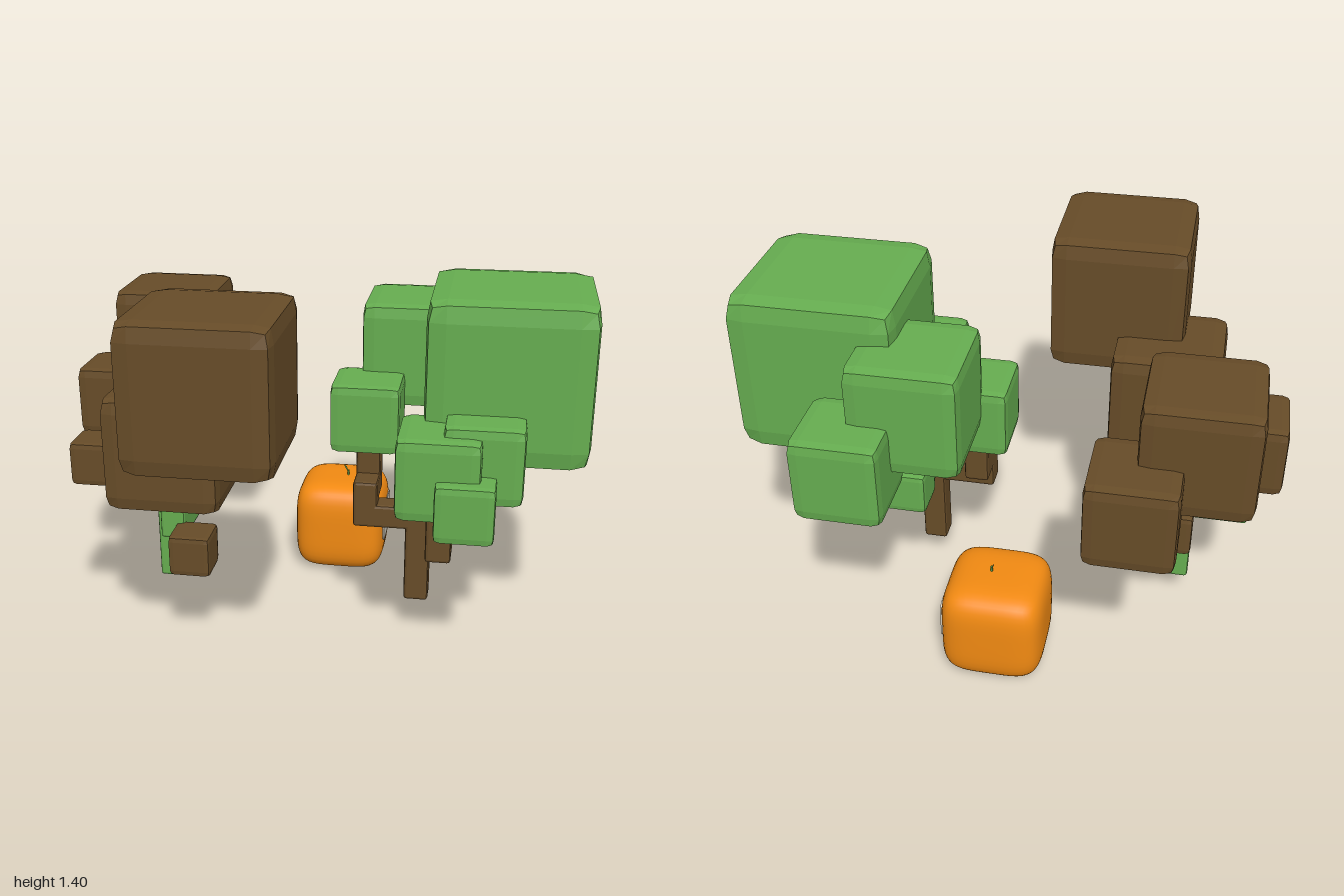
import * as THREE from 'three';
import { RoundedBoxGeometry } from 'three/addons/geometries/RoundedBoxGeometry.js';
import { mergeVertices } from 'three/addons/utils/BufferGeometryUtils.js';

const mat = (color, extra = {}) => new THREE.MeshStandardMaterial({ color, ...extra });
const GREEN = 0x66ad50, BROWN = 0x674c28;

function add(parent, name, geometry, material, x = 0, y = 0, z = 0) {
  const mesh = new THREE.Mesh(geometry, material);
  mesh.name = name;
  mesh.position.set(x, y, z);
  parent.add(mesh);
  return mesh;
}

// Unit cube with slightly bulging faces and drawn-in edges and corners
function puffyCube() {
  const g = new THREE.BoxGeometry(1, 1, 1, 3, 3, 3);
  const p = g.attributes.position;
  const pull = [0, 0.5, 0.483, 0.465];
  for (let i = 0; i < p.count; i++) {
    const c = [p.getX(i), p.getY(i), p.getZ(i)];
    const extremes = c.filter(v => Math.abs(v) > 0.4).length;
    p.setXYZ(i, ...c.map(v => Math.sign(v) * (Math.abs(v) > 0.4 ? pull[extremes] : 0.38)));
  }
  g.computeVertexNormals();
  return g;
}

// Box given by its lower and upper corners
function beam(parent, name, material, [x0, y0, z0], [x1, y1, z1]) {
  const g = new RoundedBoxGeometry(x1 - x0, y1 - y0, z1 - z0, 1, 0.012);
  add(parent, name, g, material, (x0 + x1) / 2, (y0 + y1) / 2, (z0 + z1) / 2);
}

// Trunk with stepped branches, local to the trunk's centre line
function trunk(color) {
  const t = new THREE.Group();
  t.name = 'trunk';
  const m = mat(color, { flatShading: true });
  const w = 0.048;
  beam(t, 'trunkPost', m, [-w, 0.113, -w], [w, 0.61, w]);
  beam(t, 'sideBranch', m, [-0.255, 0.42, -w], [w, 0.515, w]);
  beam(t, 'sideBranchRiser', m, [-0.255, 0.42, -w], [-0.16, 0.61, w]);
  beam(t, 'sideBranchStep', m, [-0.255, 0.515, -0.145], [-0.16, 0.61, w]);
  beam(t, 'sideBranchTop', m, [-0.255, 0.515, -0.145], [-0.16, 0.78, -0.05]);
  beam(t, 'backBranch', m, [-w, 0.515, -0.23], [w, 0.61, w]);
  beam(t, 'frontBranchRoot', m, [-w, 0.42, -w], [0.143, 0.515, w]);
  beam(t, 'frontBranch', m, [w, 0.42, -w], [0.143, 0.515, 0.315]);
  beam(t, 'frontBranchRiser', m, [w, 0.42, 0.22], [0.143, 0.72, 0.315]);
  return t;
}

// Tree: trunk position plus foliage cubes [x, y, z, size]
function tree(name, x, z, trunkColor, leafColor, cubes) {
  const g = new THREE.Group();
  g.name = name;
  const t = trunk(trunkColor);
  t.position.set(x, 0, z);
  g.add(t);
  const geo = puffyCube(), m = mat(leafColor, { flatShading: true });
  for (const [cx, cy, cz, s] of cubes) add(g, 'foliageCube', geo, m, cx, cy, cz).scale.setScalar(s);
  return g;
}

// Rounded, cube-like fruit body
function fruitBody() {
  let g = new THREE.BoxGeometry(2, 2, 2, 14, 14, 14);
  const p = g.attributes.position, n = 4.5;
  for (let i = 0; i < p.count; i++) {
    // even out the spacing, then project to a superellipsoid
    const c = [p.getX(i), p.getY(i), p.getZ(i)].map(v => Math.sin(v * Math.PI / 2) * 0.3 + v * 0.7);
    const len = Math.pow(c.reduce((s, v) => s + Math.abs(v) ** n, 0), 1 / n);
    p.setXYZ(i, c[0] / len * 0.194, c[1] / len * 0.197, c[2] / len * 0.193);
  }
  g.deleteAttribute('normal');
  g.deleteAttribute('uv');
  g = mergeVertices(g, 1e-5);
  g.computeVertexNormals();
  return g;
}

function roundedRect(w, h, r) {
  const s = new THREE.Shape(), x = w / 2 - r, y = h / 2 - r;
  s.absarc(x, y, r, 0, Math.PI / 2);
  s.absarc(-x, y, r, Math.PI / 2, Math.PI);
  s.absarc(-x, -y, r, Math.PI, Math.PI * 1.5);
  s.absarc(x, -y, r, Math.PI * 1.5, Math.PI * 2);
  return s;
}

function fruit() {
  const g = new THREE.Group();
  g.name = 'fruit';
  g.position.set(-0.003, 0.199, -0.498);
  add(g, 'fruitBody', fruitBody(), mat(0xf28a12));

  // Face plate and eyes on the +x side
  const plate = new THREE.ExtrudeGeometry(roundedRect(0.23, 0.165, 0.035), { depth: 0.02, bevelEnabled: false });
  add(g, 'facePlate', plate, mat(0xd0cabc), 0.176, 0.014, 0).rotation.y = Math.PI / 2;
  const eye = new THREE.CylinderGeometry(0.012, 0.012, 0.006, 20);
  for (const z of [-0.058, 0.058])
    add(g, 'eye', eye, mat(0x111111), 0.196, 0.046, z).rotation.z = Math.PI / 2;

  // Sprout: a short stem and two leaves
  const green = mat(0x5a9a45, { side: THREE.DoubleSide });
  add(g, 'stem', new THREE.CylinderGeometry(0.004, 0.005, 0.03, 6), green, 0.022, 0.205, 0.003);
  const leaf = new THREE.Shape();
  leaf.moveTo(0, 0);
  leaf.quadraticCurveTo(0.014, 0.02, 0, 0.047);
  leaf.quadraticCurveTo(-0.014, 0.02, 0, 0);
  const leafGeo = new THREE.ShapeGeometry(leaf, 8).rotateY(Math.PI / 2);
  for (const [tilt, size] of [[0.35, 1], [-0.4, 0.75]]) {
    const l = add(g, 'leaf', leafGeo, green, 0.022, 0.212, 0.003);
    l.rotation.set(tilt, 0, 0.4);
    l.scale.setScalar(size);
  }
  return g;
}

export function createModel() {
  const model = new THREE.Group();
  model.name = 'cubeTreesAndFruit';
  model.add(tree('greenLeafTree', 0.369, 0.03, BROWN, GREEN, [
    [0.69, 1.065, -0.077, 0.61],
    [0.315, 1.048, -0.358, 0.405],
    [0.152, 0.853, -0.08, 0.268],
    [0.518, 0.877, -0.555, 0.318],
    [0.615, 0.82, 0.233, 0.29],
    [0.458, 0.778, 0.29, 0.305],
    [0.558, 0.682, 0.39, 0.215],
    [0.4, 0.563, -0.233, 0.165],
    [0.53, 0.465, 0.06, 0.066],
  ]));
  model.add(tree('brownLeafTree', -0.648, -0.023, GREEN, BROWN, [
    [-0.325, 1.135, 0.498, 0.53],
    [-0.7, 1.048, -0.407, 0.405],
    [-0.54, 0.818, 0.255, 0.425],
    [-0.5, 0.877, -0.608, 0.318],
    [-0.867, 0.853, -0.13, 0.268],
    [-0.838, 0.728, 0.265, 0.165],
    [-0.457, 0.41, 0.345, 0.155],
    [-0.617, 0.563, -0.285, 0.165],
    [-0.487, 0.465, 0.003, 0.066],
  ]));
  model.add(fruit());
  return model;
}
